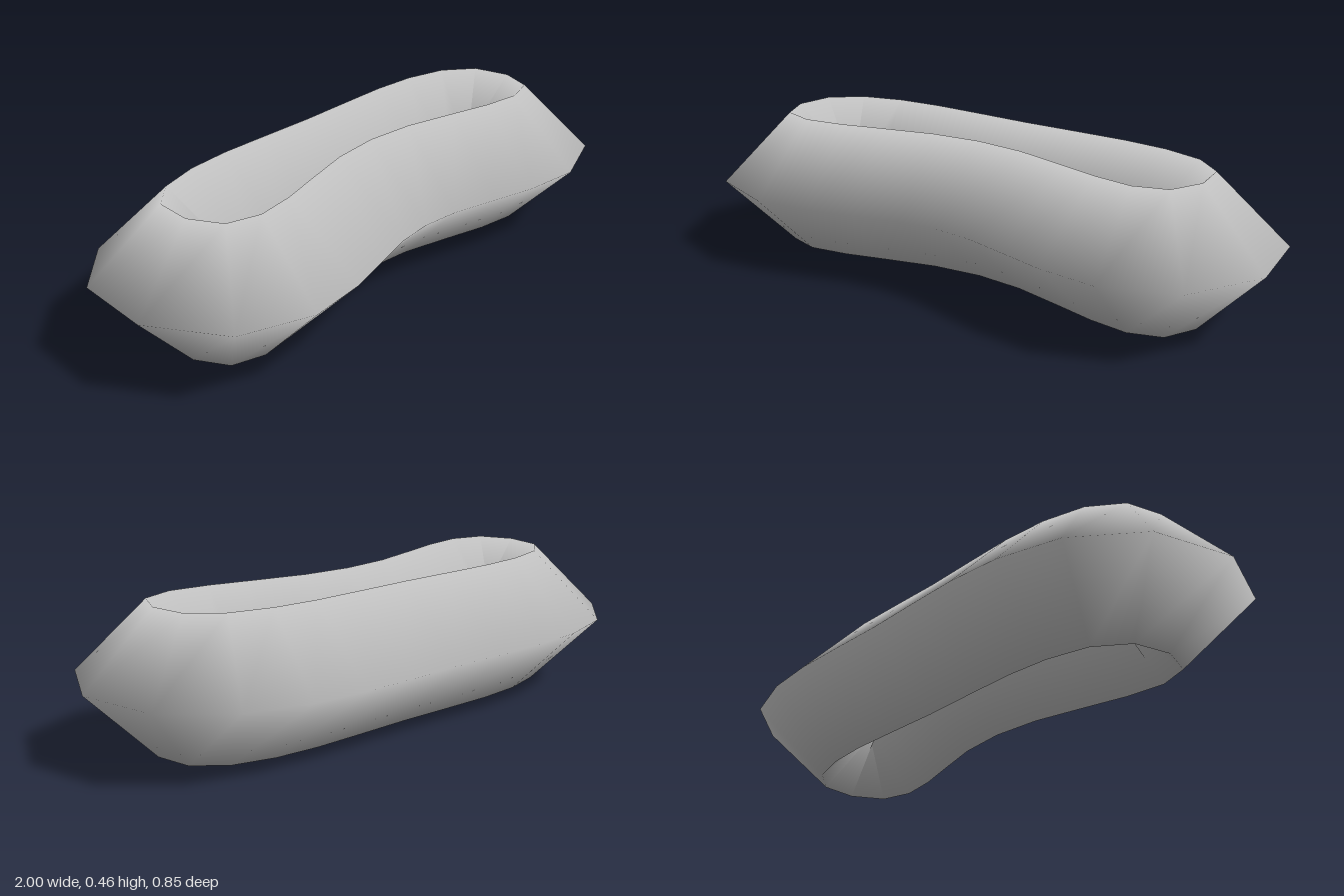
import * as THREE from 'three';

const RADIUS = 0.2275;
const SIDES = 4; // diamond cross-section

// Outer rim of the ring on the +x half, from back centre to front centre [x, z]
const HALF_RIM = [
  [0, -0.422], [0.19, -0.426], [0.38, -0.428], [0.565, -0.412], [0.77, -0.35],
  [0.953, -0.183], [1, 0.087], [0.874, 0.333], [0.64, 0.42], [0.44, 0.397],
  [0.29, 0.357], [0.13, 0.315], [0, 0.302],
];

// Closed tube swept just inside the rim, with smooth radial normals
function closedTube(rim) {
  const n = rim.length;
  const position = [], normal = [], index = [];
  rim.forEach((p, i) => {
    // tangent of the circle through three neighbouring rim points
    const a = p.clone().sub(rim[(i + n - 1) % n]);
    const b = rim[(i + 1) % n].clone().sub(p);
    const t = a.divideScalar(a.lengthSq()).add(b.divideScalar(b.lengthSq())).normalize();
    const out = new THREE.Vector3(t.y, 0, -t.x);
    const centre = new THREE.Vector3(p.x, RADIUS, p.y).addScaledVector(out, -RADIUS);

    for (let j = 0; j < SIDES; j++) {
      const angle = (j / SIDES) * Math.PI * 2;
      const dir = out.clone().multiplyScalar(Math.cos(angle));
      dir.y = Math.sin(angle);
      normal.push(...dir.toArray());
      position.push(...dir.multiplyScalar(RADIUS).add(centre).toArray());

      const i2 = (i + 1) % n, j2 = (j + 1) % SIDES;
      const A = i * SIDES + j, B = i2 * SIDES + j;
      const C = i2 * SIDES + j2, D = i * SIDES + j2;
      index.push(A, D, B, D, C, B);
    }
  });
  const geometry = new THREE.BufferGeometry();
  geometry.setAttribute('position', new THREE.Float32BufferAttribute(position, 3));
  geometry.setAttribute('normal', new THREE.Float32BufferAttribute(normal, 3));
  geometry.setIndex(index);
  return geometry;
}

export function createModel() {
  const group = new THREE.Group();
  group.name = 'bentRing';

  // mirror the half rim to close the loop
  const mirrored = HALF_RIM.slice(1, -1).reverse().map(([x, z]) => [-x, z]);
  const rim = [...HALF_RIM, ...mirrored].map(([x, z]) => new THREE.Vector2(x, z));

  const tube = new THREE.Mesh(
    closedTube(rim),
    new THREE.MeshStandardMaterial({ color: 0xcccccc }),
  );
  tube.name = 'ringTube';
  group.add(tube);
  return group;
}
